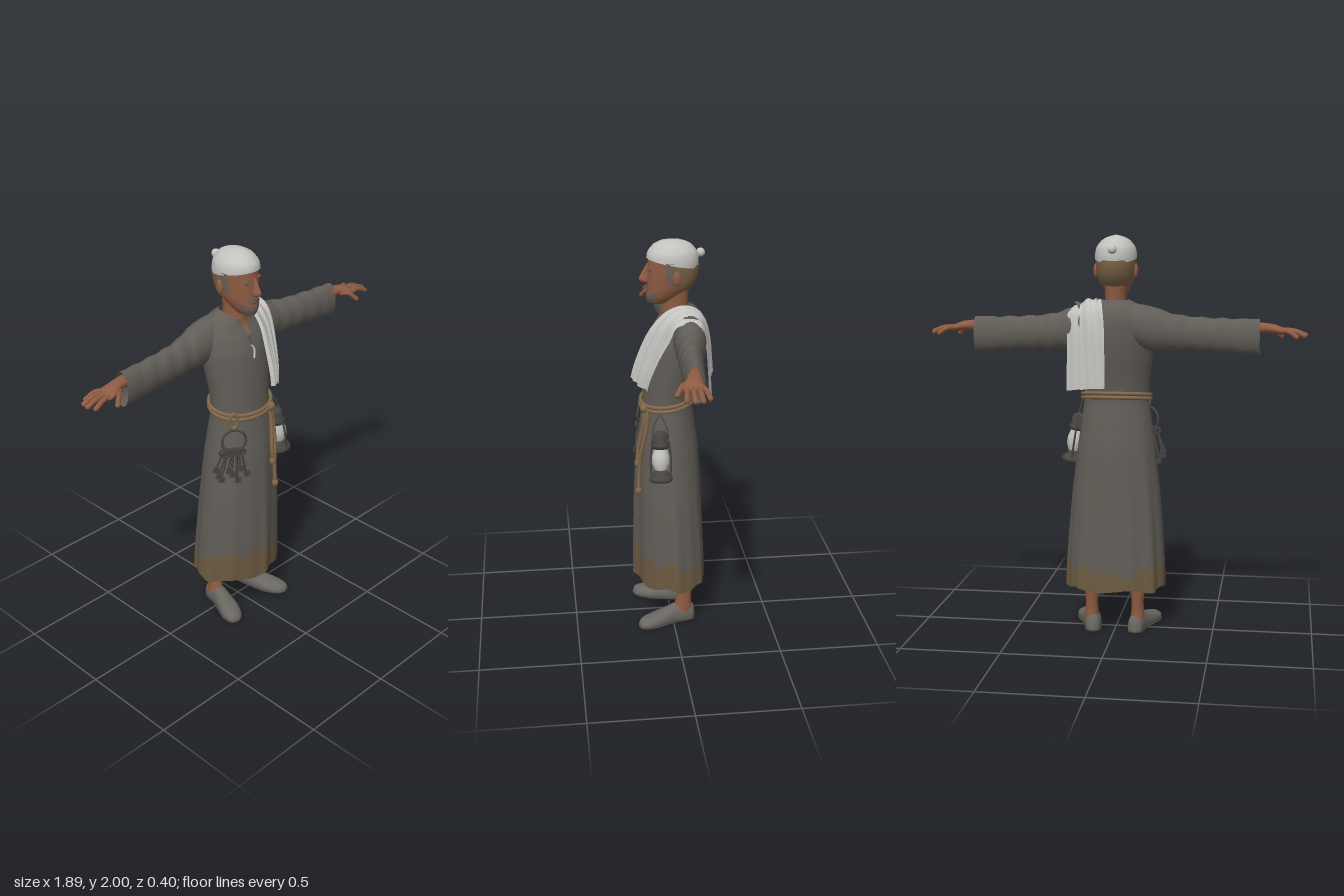
import * as THREE from 'three';
import { mergeVertices } from 'three/addons/utils/BufferGeometryUtils.js';

const PI = Math.PI, { clamp, lerp, smoothstep } = THREE.MathUtils;
const V = (x, y, z) => new THREE.Vector3(x, y, z);

// Smooth lookup in rows of [key, ...values]
function sample(rows, k) {
  let i = 0;
  while (i < rows.length - 2 && k > rows[i + 1][0]) i++;
  const a = rows[Math.max(i - 1, 0)], b = rows[i], c = rows[i + 1], d = rows[Math.min(i + 2, rows.length - 1)];
  const t = clamp((k - b[0]) / (c[0] - b[0]), 0, 1);
  return b.slice(1).map((p, j) => {
    const [q, r, s] = [a[j + 1], c[j + 1], d[j + 1]];
    return p + 0.5 * t * (r - q + t * (2 * q - 5 * p + 4 * r - s + t * (3 * (p - r) + s - q)));
  });
}

// Smooth surface from f(u, v) => [x, y, z]
function grid(nu, nv, f) {
  const pos = [], idx = [];
  for (let j = 0; j <= nv; j++) for (let i = 0; i <= nu; i++) pos.push(...f(i / nu, j / nv));
  for (let j = 0; j < nv; j++) for (let i = 0; i < nu; i++) {
    const a = j * (nu + 1) + i, b = a + nu + 1;
    idx.push(a, b, a + 1, a + 1, b, b + 1);
  }
  let g = new THREE.BufferGeometry();
  g.setAttribute('position', new THREE.Float32BufferAttribute(pos, 3));
  g.setIndex(idx);
  g = mergeVertices(g, 1e-5);
  g.computeVertexNormals();
  return g;
}

function mirrored(geo) {
  const g = geo.clone().scale(-1, 1, 1), a = g.index.array;
  for (let i = 0; i < a.length; i += 3) [a[i], a[i + 1]] = [a[i + 1], a[i]];
  g.computeVertexNormals();
  return g;
}

// Upright body: rows of [y, half width, front z, back z]
function ringPoint(rows, y, a, off = 0) {
  const [rx, zf, zb] = sample(rows, y);
  return [(rx + off) * Math.cos(a), y, (zf + zb) / 2 + ((zf - zb) / 2 + off) * Math.sin(a)];
}
const upright = (rows, nu = 32, nv = 24) => patch(rows, 0, 2 * PI, () => rows[0][0], () => rows.at(-1)[0], 0, nu, nv);
function patch(rows, a0, a1, lo, hi, off, nu = 24, nv = 10) {
  return grid(nu, nv, (u, v) => {
    const a = lerp(a0, a1, u);
    return ringPoint(rows, lerp(lo(a), hi(a), v), a, off);
  });
}

// Limb along x: rows of [x, centre y, centre z, half height, half depth]
const limb = (rows, nv, ripple = 0) => grid(24, nv, (u, v) => {
  const x = lerp(rows[0][0], rows.at(-1)[0], v), a = u * 2 * PI;
  const [cy, cz, ry, rz] = sample(rows, x);
  const k = 1 + ripple * Math.sin(x * 62 + 2 * Math.sin(a)) * smoothstep(x, 0.2, 0.3) * (1 - smoothstep(x, 0.6, 0.7));
  return [x, cy + ry * k * Math.cos(a), cz - rz * k * Math.sin(a)];
});

const ROBE = [[0.21, 0.25, 0.19, -0.17], [0.4, 0.243, 0.19, -0.165], [0.7, 0.222, 0.185, -0.152], [0.95, 0.195, 0.172, -0.138],
  [1.1, 0.175, 0.15, -0.118], [1.2, 0.163, 0.137, -0.106], [1.3, 0.17, 0.13, -0.12], [1.4, 0.182, 0.12, -0.14], [1.5, 0.19, 0.105, -0.155],
  [1.58, 0.185, 0.075, -0.157], [1.63, 0.16, 0.052, -0.147], [1.665, 0.115, 0.042, -0.125], [1.685, 0.07, 0.042, -0.1]];
// The skirt is narrower in front and squarer behind, with folds that deepen downwards
function robePoint(y, a, off = 0) {
  const flare = clamp(1 - y / 1.15, 0, 1), s = Math.sin(a), c = Math.cos(a);
  const fold = 0.055 * flare * (0.6 * Math.cos(8 * a + 0.5) + 0.4 * Math.cos(13 * a));
  const p = ringPoint(ROBE, y, a, off);
  p[0] *= (1 + fold) * Math.pow(Math.abs(c) + 1e-6, 0.3 * flare * s);
  p[2] = p[2] * (1 + fold) - 0.025 * flare * c * c;
  p[1] -= 0.032 * Math.max(0, s) * smoothstep(y, 1.55, 1.685);
  return p;
}
// Point on the front of the robe at a given x
const onRobe = (x, y, off) => V(...robePoint(y, Math.acos(clamp(x / (sample(ROBE, y)[0] + off), -1, 1)), off));

const HEAD = [[1.683, 0.012, 0.085, 0.04], [1.69, 0.034, 0.105, 0.0], [1.72, 0.057, 0.116, -0.045], [1.76, 0.075, 0.114, -0.088],
  [1.8, 0.084, 0.112, -0.115], [1.85, 0.089, 0.111, -0.128], [1.93, 0.09, 0.105, -0.125]];
const NECK = [[1.56, 0.075, 0.05, -0.09], [1.62, 0.06, 0.045, -0.09], [1.68, 0.053, 0.045, -0.085], [1.77, 0.055, 0.05, -0.09]];
const NOSE = [[1.786, 0.004, 0.12, 0.09], [1.794, 0.015, 0.143, 0.09], [1.808, 0.016, 0.152, 0.09], [1.83, 0.011, 0.143, 0.09],
  [1.865, 0.008, 0.124, 0.09], [1.885, 0.006, 0.113, 0.09]];
const CAP = [[1.86, 0.102, 0.11, -0.135], [1.9, 0.103, 0.115, -0.137], [1.94, 0.095, 0.108, -0.128], [1.975, 0.068, 0.08, -0.1],
  [1.992, 0.036, 0.045, -0.06], [2, 0, -0.006, -0.006]];
const SLEEVE = [[0.05, 1.575, -0.06, 0.1, 0.08], [0.13, 1.558, -0.07, 0.107, 0.08], [0.2, 1.542, -0.072, 0.108, 0.078], [0.3, 1.527, -0.062, 0.09, 0.066],
  [0.4, 1.52, -0.05, 0.084, 0.056], [0.5, 1.516, -0.044, 0.083, 0.052], [0.6, 1.511, -0.038, 0.085, 0.048], [0.71, 1.508, -0.032, 0.088, 0.045]];
const PALM = [[0.6, 1.535, -0.03, 0.03, 0.03], [0.7, 1.55, -0.025, 0.028, 0.032], [0.74, 1.55, -0.02, 0.025, 0.033], [0.78, 1.545, -0.01, 0.024, 0.043],
  [0.82, 1.536, -0.007, 0.019, 0.05], [0.845, 1.532, -0.007, 0.01, 0.042], [0.852, 1.53, -0.007, 0, 0]];
// Shoe along z: [z, centre x, half width, height]
const SHOE = [[-0.118, 0.108, 0, 0.03], [-0.11, 0.108, 0.03, 0.075], [-0.07, 0.112, 0.041, 0.092], [-0.02, 0.12, 0.044, 0.094], [0.04, 0.138, 0.052, 0.076],
  [0.1, 0.158, 0.058, 0.06], [0.15, 0.173, 0.048, 0.048], [0.178, 0.18, 0.028, 0.035], [0.185, 0.18, 0, 0.015]];
const shoe = (grow, maxH) => grid(24, 30, (u, v) => {
  const z = lerp(-0.118, 0.185, v), a = u * 2 * PI, [cx, w, h] = sample(SHOE, z);
  return [cx + Math.max(0, w) * grow * Math.cos(a), Math.max(0, Math.min(h, maxH) * (0.35 - 0.65 * Math.sin(a))), z];
});

export function createModel() {
  const model = new THREE.Group();
  const mat = (name, color, side = THREE.FrontSide) => Object.assign(new THREE.MeshStandardMaterial({ color, side }), { name });
  const D = THREE.DoubleSide;
  const robe = mat('grey robe', 0x615d57, D), mud = mat('muddy hem', 0x6c5a41), rope = mat('rope', 0x80684a);
  const skin = mat('skin', 0x8e5b42), linen = mat('linen', 0xc2c2bf, D), iron = mat('dark iron', 0x484541, D);
  const leather = mat('shoe grey', 0x6a6762), hair = mat('brown hair', 0x7a6244, D), beard = mat('grey beard', 0x6c5f54, D);
  const add = (name, geo, m, parent = model) => {
    const mesh = new THREE.Mesh(geo, m);
    mesh.name = name;
    parent.add(mesh);
    return mesh;
  };
  const pair = (name, geo, m) => {
    add(name + 'Left', geo, m);
    add(name + 'Right', mirrored(geo), m);
  };
  const tube = (pts, r, closed = false, n = 40) => new THREE.TubeGeometry(new THREE.CatmullRomCurve3(pts, closed), n, r, 8, closed);
  const ball = (r, x, y, z, sx = 1, sy = 1, sz = 1) => new THREE.SphereGeometry(r, 16, 12).scale(sx, sy, sz).translate(x, y, z);

  // Robe with a ragged muddy band above the hem, lower at the back, and a dark lining
  const hemY = a => 0.227 + 0.009 * Math.sin(6 * a);
  const mudY = a => 0.36 + 0.04 * Math.sin(a) + 0.02 * Math.sin(5 * a + 1) + 0.015 * Math.sin(11 * a);
  const wrap = (lo, hi, nv, off = 0) => grid(112, nv, (u, v) => robePoint(lerp(lo(u * 2 * PI), hi(u * 2 * PI), v), u * 2 * PI, off));
  add('muddyHem', wrap(hemY, mudY, 5), mud);
  add('robeBody', wrap(mudY, () => 1.685, 50), robe);
  add('robeLining', wrap(hemY, () => 0.6, 8, -0.004), iron);
  pair('sleeve', limb(SLEEVE, 60, 0.035), robe);
  add('neckSlit', grid(6, 8, (u, v) => {
    const y = lerp(1.585, 1.685, v);
    return onRobe((0.5 - u) * lerp(0.008, 0.05, v), y, 0.004).toArray();
  }), skin);
  add('pendantCord', tube([onRobe(-0.008, 1.58, 0.006), onRobe(-0.004, 1.55, 0.006), onRobe(-0.008, 1.52, 0.006)], 0.002), iron);
  add('pendant', tube([onRobe(-0.008, 1.535, 0.007), onRobe(0.003, 1.51, 0.007), onRobe(-0.006, 1.47, 0.007)], 0.005), linen);

  // Hands
  pair('palm', limb(PALM, 30), skin);
  const fingers = [[0.805, -0.04, 0.888, -0.068, 1.512], [0.82, -0.02, 0.925, -0.034, 1.515], [0.82, 0.0, 0.932, 0.001, 1.517],
    [0.81, 0.02, 0.915, 0.036, 1.515], [0.75, 0.005, 0.815, 0.064, 1.505]];
  for (const [x0, z0, x1, z1, y1] of fingers) {
    pair('finger', tube([V(x0, 1.537, z0), V(lerp(x0, x1, 0.5), 1.537, lerp(z0, z1, 0.55)), V(x1, y1, z1)], 0.012, false, 10), skin);
    pair('fingertip', ball(0.0121, x1, y1, z1), skin);
  }

  // Legs and shoes
  const SHIN = [[0.04, 0.036, -0.005, -0.1], [0.1, 0.033, -0.012, -0.096], [0.15, 0.031, -0.025, -0.097], [0.25, 0.04, -0.015, -0.105], [0.5, 0.055, 0.02, -0.1]];
  pair('shin', upright(SHIN).translate(0.118, 0, 0), skin);
  pair('shoe', shoe(1, 1), leather);
  pair('sole', shoe(1.04, 0.012), iron);

  // Head
  add('neck', upright(NECK), skin);
  add('head', upright(HEAD, 40, 30), skin);
  add('nose', upright(NOSE, 20, 16), skin);
  add('hair', patch(HEAD, PI - 0.05, 2 * PI + 0.05, a => 1.75 + 0.035 * (1 + Math.sin(a)), a => 1.895 + 0.02 * Math.sin(a), 0.01, 36), hair);
  pair('sideHair', patch(HEAD, 0, 0.32, a => 1.79 + 0.08 * a, () => 1.9, 0.013, 10), beard);
  add('beard', patch(HEAD, 0.55, PI - 0.55, () => 1.687, a => 1.725 + 0.035 * Math.abs(Math.cos(a)), 0.004), beard);
  add('moustache', patch(HEAD, 1.05, PI - 1.05, a => 1.766 - 0.03 * Math.abs(Math.cos(a)), a => 1.78 - 0.03 * Math.abs(Math.cos(a)), 0.004), beard);
  add('mouth', patch(HEAD, 1.2, PI - 1.2, () => 1.752, () => 1.756, 0.003, 12, 2), iron);
  pair('ear', ball(0.032, 0.099, 1.825, -0.02, 0.4, 1.1, 0.65), skin);
  pair('eye', ball(0.01, 0.035, 1.852, 0.097, 1.1, 0.5, 0.8), iron);
  pair('brow', ball(0.02, 0.036, 1.872, 0.095, 1.1, 0.25, 0.55), beard);
  add('cap', patch(CAP, 0, 2 * PI, a => 1.887 + 0.024 * Math.sin(a), () => 2, 0, 40, 20), linen);
  add('capBobble', ball(0.022, 0, 1.93, -0.146), linen);

  // Cloth over the left shoulder: [t, z, y, centre x, half width]
  const CLOTH = [[0, 0.188, 1.31, 0.1, 0.053], [0.12, 0.17, 1.385, 0.11, 0.058], [0.28, 0.127, 1.5, 0.125, 0.066], [0.4, 0.08, 1.59, 0.14, 0.071],
    [0.5, 0.02, 1.655, 0.143, 0.073], [0.6, -0.06, 1.68, 0.143, 0.077], [0.7, -0.135, 1.65, 0.137, 0.086], [0.8, -0.168, 1.55, 0.13, 0.093],
    [0.9, -0.182, 1.41, 0.128, 0.095], [1, -0.192, 1.26, 0.128, 0.096]];
  const cloth = (t0, t1, scale, lift, shift) => grid(28, 50, (u, v) => {
    const t = lerp(t0, t1, v), s = (1 - 2 * u) * scale + shift;
    const [z, y, cx, w] = sample(CLOTH, t), ripple = lift + 0.006 * Math.sin(s * 8 + t * 4);
    const front = 1 - smoothstep(t, 0.35, 0.6), back = smoothstep(t, 0.6, 0.8), top = 1 - Math.max(front, back);
    const side = Math.max(0, s + 0.6);
    return [cx + s * w, y + ripple * (0.3 + top) - 0.015 * side * (0.6 + top) - 0.012 * front * s, z + (front - back) * ripple - 0.04 * front * side + 0.012 * back * side];
  });
  add('shoulderCloth', cloth(0, 1, 1, 0, 0), linen);
  add('shoulderClothFold', cloth(0.03, 0.93, 0.5, 0.011, -0.2), linen);
  add('shoulderClothOuterFold', cloth(0, 0.6, 0.28, 0.014, 0.5), linen);

  // Double rope belt with knots and hanging ends
  for (const d of [0, 0.021]) {
    const pts = [];
    for (let i = 0; i < 28; i++) {
      const a = i / 28 * 2 * PI;
      pts.push(V(...robePoint(1.187 + d - 0.02 * Math.sin(a), a, 0.01)));
    }
    add('belt', tube(pts, 0.0095, true, 96), rope);
  }
  add('beltKnot', ball(0.024, ...onRobe(0.09, 1.178, 0.02).toArray(), 1.1, 0.9, 0.8), rope);
  for (const [x, y1] of [[0.085, 0.88], [0.11, 0.74]]) {
    const pts = [0, 0.25, 0.5, 0.75, 1].map(t => onRobe(x + 0.008 * Math.sin(t * 6), lerp(1.18, y1, t), 0.012));
    add('ropeEnd', tube(pts, 0.0105), rope);
    add('ropeEndKnot', ball(0.017, ...pts[4].toArray(), 1, 1.3, 1), rope);
  }
  const hip = onRobe(-0.14, 1.17, 0.02);
  add('keyLoop', new THREE.TorusGeometry(0.03, 0.009, 8, 24).scale(0.7, 1.3, 1).rotateY(-0.6).translate(hip.x, hip.y, hip.z), rope);

  // Key ring and keys, hanging flat against the right hip
  const keys = new THREE.Group();
  keys.name = 'keyRing';
  keys.position.set(-0.152, 1.07, 0.125);
  keys.rotation.y = -0.55;
  add('ring', new THREE.TorusGeometry(0.06, 0.006, 8, 32), iron, keys);
  for (let i = 0; i < 8; i++) {
    const key = new THREE.Group(), len = 0.1 + 0.028 * (i % 3);
    key.name = 'key';
    key.position.set(-0.05 + i * 0.012, -0.05, 0.012 * (i % 2));
    key.rotation.z = -0.42 + i * 0.085;
    add('bow', new THREE.TorusGeometry(0.018, 0.006, 6, 16).translate(0, -0.01, 0), iron, key);
    add('shaft', new THREE.CylinderGeometry(0.006, 0.006, len, 8).translate(0, -0.027 - len / 2, 0), iron, key);
    add('bit', new THREE.BoxGeometry(0.03, 0.03, 0.008).translate(0.006, -0.012 - len, 0), iron, key);
    keys.add(key);
  }
  model.add(keys);

  // Lantern on the left hip
  const lantern = new THREE.Group();
  lantern.name = 'lantern';
  lantern.position.set(0.237, 0.85, 0.072);
  lantern.rotation.z = 0.15;
  const lathe = pts => new THREE.LatheGeometry(pts.map(p => new THREE.Vector2(...p)), 24);
  add('lanternBase', lathe([[0, 0], [0.054, 0], [0.058, 0.012], [0.048, 0.028], [0.032, 0.04], [0.032, 0.058], [0, 0.058]]), iron, lantern);
  add('lanternGlass', lathe([[0.03, 0.056], [0.043, 0.09], [0.043, 0.125], [0.03, 0.168]]), linen, lantern);
  add('lanternTop', lathe([[0, 0.165], [0.04, 0.165], [0.043, 0.185], [0.032, 0.2], [0.036, 0.225], [0.028, 0.245], [0, 0.255]]), iron, lantern);
  for (const s of [-1, 1])
    add('lanternFrame', tube([V(0, 0.02, s * 0.047), V(0, 0.1, s * 0.05), V(0, 0.2, s * 0.042)], 0.005, false, 12), iron, lantern);
  add('lanternHandle', tube([V(0, 0.2, 0.04), V(0, 0.26, 0.034), V(-0.008, 0.325, 0), V(0, 0.26, -0.034), V(0, 0.2, -0.04)], 0.003), iron, lantern);
  model.add(lantern);
  return model;
}
